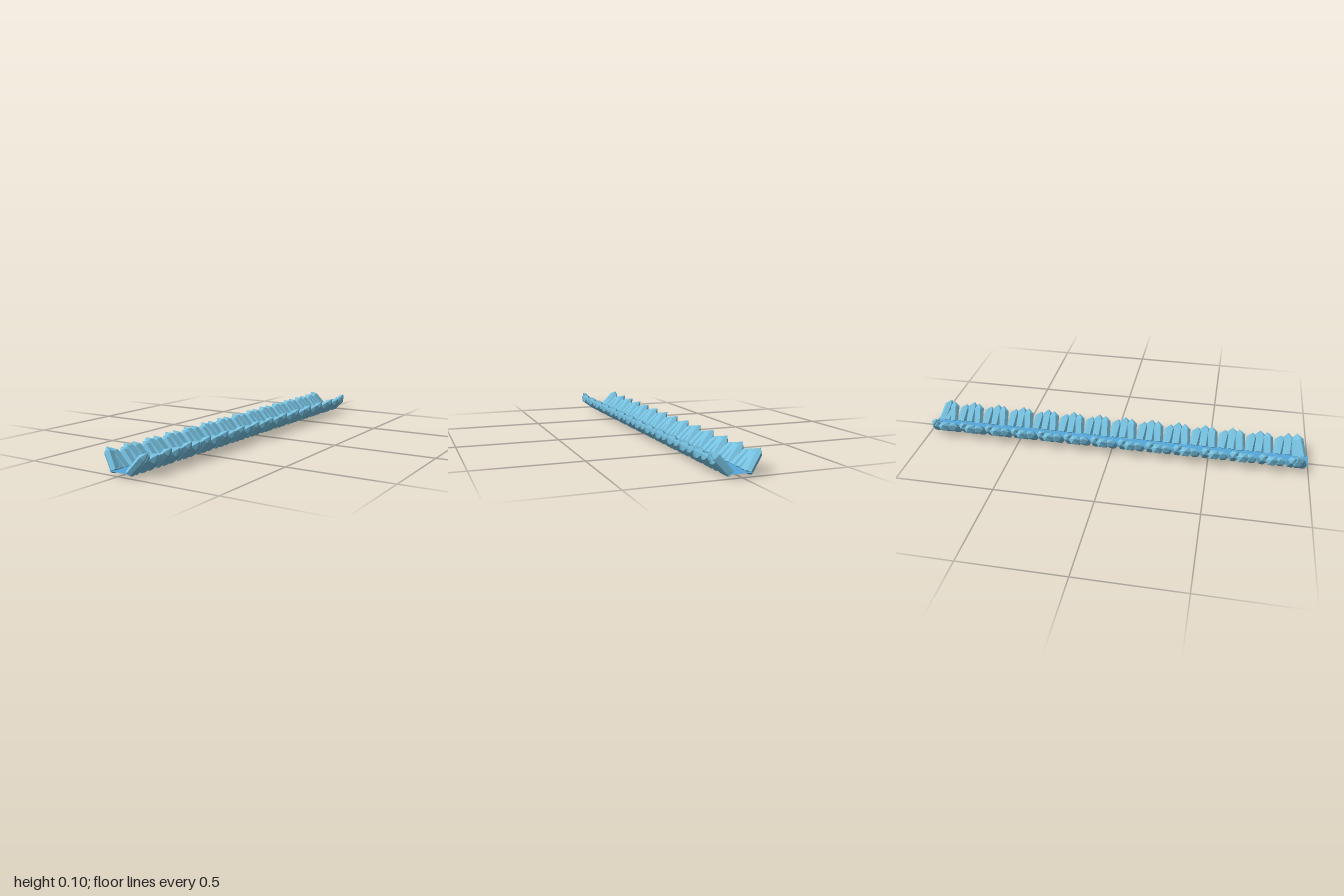
import * as THREE from 'three';

export function createModel() {
  const model = new THREE.Group();
  const ribbonBlue = new THREE.MeshStandardMaterial({ color: 0x54a7dc, side: THREE.DoubleSide });
  ribbonBlue.name = 'ribbonBlue';
  const crystalBlue = new THREE.MeshStandardMaterial({ color: 0x76c1e0, flatShading: true });
  crystalBlue.name = 'crystalBlue';

  // flat strip between the two crystal rows
  const strip = new THREE.Mesh(new THREE.PlaneGeometry(0.1, 2), ribbonBlue);
  strip.name = 'strip';
  strip.rotation.x = -Math.PI / 2;
  strip.position.y = 0.018;
  model.add(strip);

  // six-sided crystal, wider along the row: narrow foot, wide shoulder, pointed tip
  const crystalShape = (length, radius) => new THREE.LatheGeometry([
    new THREE.Vector2(0, 0),
    new THREE.Vector2(0.017, 0),
    new THREE.Vector2(radius, length * 0.74),
    new THREE.Vector2(0, length),
  ], 6).scale(1, 1, 1.35);
  // angle is measured up from the ground, lean runs along the row
  const makeKind = (length, radius, angle, lean) => ({ geometry: crystalShape(length, radius), angle, lean });

  // repeating cluster of three crystals
  const kinds = [
    makeKind(0.112, 0.021, 48, 0.12),
    makeKind(0.121, 0.025, 40, 0),
    makeKind(0.104, 0.021, 43, -0.1),
  ];
  // crystals closing each end, leaning inward
  const backEnd = makeKind(0.122, 0.019, 51, 0.28);
  const frontEnd = makeKind(0.122, 0.019, 51, -0.28);

  function crystalRow(name) {
    const row = new THREE.Group();
    row.name = name;
    const addCrystal = (kind, z) => {
      const a = THREE.MathUtils.degToRad(kind.angle);
      const dir = new THREE.Vector3(-Math.cos(a), Math.sin(a), kind.lean).normalize();
      const crystal = new THREE.Mesh(kind.geometry, crystalBlue);
      crystal.name = 'crystal';
      crystal.position.set(-0.039, 0.013, z);
      crystal.quaternion.setFromUnitVectors(new THREE.Vector3(0, 1, 0), dir);
      row.add(crystal);
    };
    for (let i = 0; i < 40; i++) addCrystal(kinds[i % 3], -0.946 + i * 0.0476);
    addCrystal(kinds[2], 0.945);
    addCrystal(backEnd, -0.972);
    addCrystal(frontEnd, 0.972);
    return row;
  }

  // the left row is the right row turned half way round
  const rightRow = crystalRow('rightCrystalRow');
  const leftRow = crystalRow('leftCrystalRow');
  leftRow.rotation.y = Math.PI;
  model.add(rightRow, leftRow);
  return model;
}
